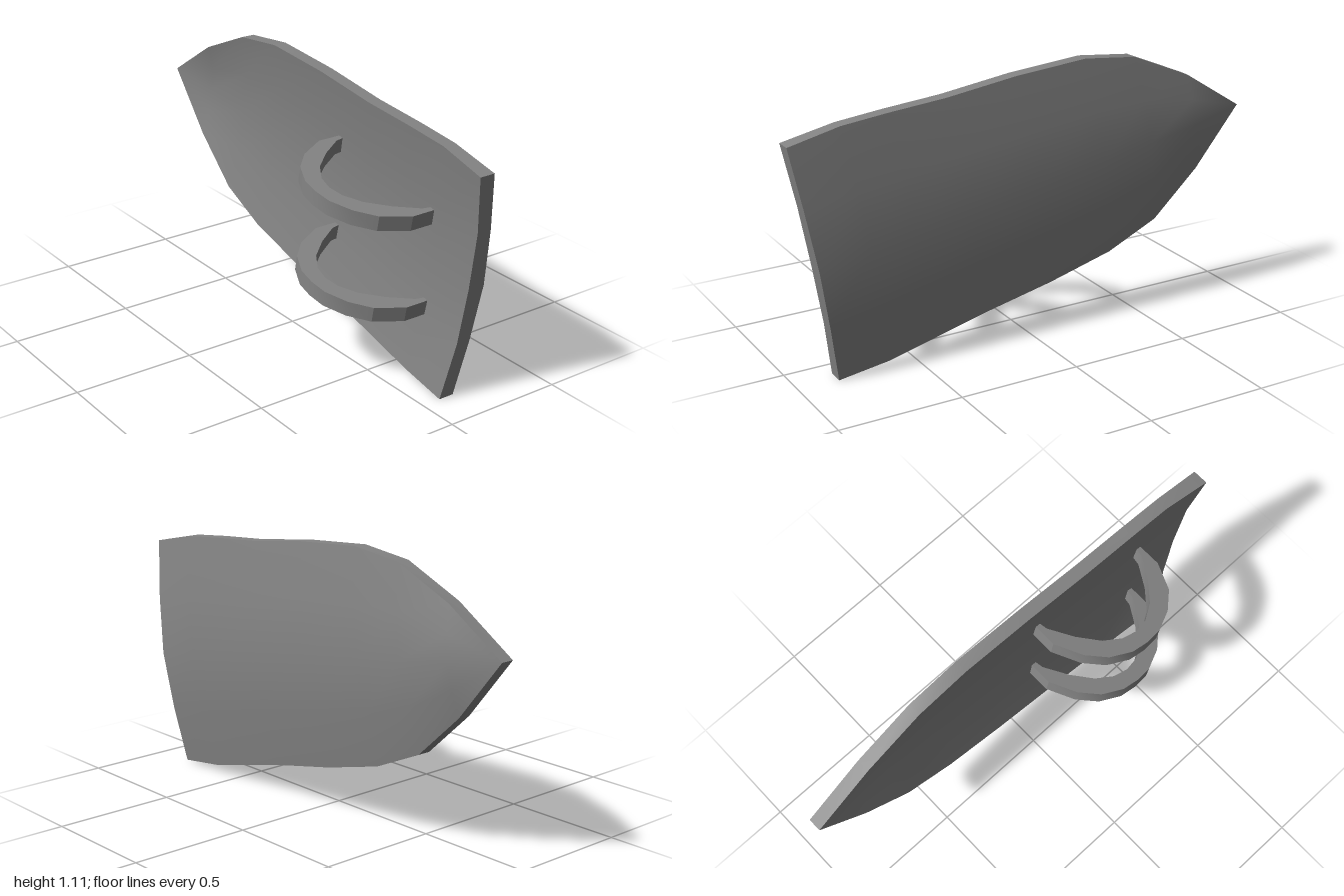
import * as THREE from 'three';
import { toCreasedNormals } from 'three/addons/utils/BufferGeometryUtils.js';

const material = new THREE.MeshStandardMaterial({ color: 0x848484 });

// Matching stations along both edges, from the pointed tip to the wide end
const topEdge = [[-1, 0.805], [-0.74, 0.97], [-0.48, 1.08], [-0.25, 1.105], [0.06, 1.08],
  [0.36, 1.04], [0.6, 1.02], [0.79, 1.0], [1, 0.953]];
const bottomEdge = [[-1, 0.805], [-0.8, 0.56], [-0.6, 0.375], [-0.38, 0.275], [-0.1, 0.2],
  [0.2, 0.135], [0.44, 0.075], [0.62, 0.03], [0.835, 0]];
const bulge = [0, 0.038, 0.05, 0.053, 0.053, 0.053, 0.053, 0.053, 0.053];

// Curved plate: a box grid warped between the two edges and bowed backwards
function plateGeometry() {
  const n = topEdge.length - 1;
  const geometry = new THREE.BoxGeometry(1, 1, 1, n, 4, 1);
  const pos = geometry.attributes.position;
  for (let k = 0; k < pos.count; k++) {
    const i = Math.round((pos.getX(k) + 0.5) * n);
    const v = pos.getY(k) + 0.5;
    const [tx, ty] = topEdge[i];
    const [bx, by] = bottomEdge[i];
    const across = Math.abs(2 * v - 1);
    // The hollow front is flatter in the middle than the back
    const z = pos.getZ(k) > 0
      ? (i === n ? -0.08 : -0.09) - 0.85 * bulge[i] * (1 - across ** 2.6)
      : -0.145 - bulge[i] * (1 - across ** 1.5);
    pos.setXYZ(k, bx + (tx - bx) * v, by + (ty - by) * v, z);
  }
  return toCreasedNormals(geometry, 0.6);
}

// Arched grip: crescent profile, thick in the middle and thin at the ends
function gripGeometry() {
  const outerRight = [[0.293, -0.15], [0.293, -0.03], [0.24, 0.085], [0.165, 0.15], [0.075, 0.191]];
  const outerLeft = [[0, 0.198], [-0.075, 0.191], [-0.165, 0.15], [-0.235, 0.08], [-0.293, -0.03], [-0.293, -0.15]];
  const inner = [[0, 0.135], [0.065, 0.123], [0.135, 0.08], [0.205, 0], [0.265, -0.095], [0.275, -0.15]];
  const innerLeft = inner.map(([x, y]) => [-x, y]).reverse();
  const points = [...outerRight, ...outerLeft, ...innerLeft, ...inner.slice(1)];
  const shape = new THREE.Shape(points.map(([x, y]) => new THREE.Vector2(x, y)));
  const height = 0.063;
  const geometry = new THREE.ExtrudeGeometry(shape, { depth: height, bevelEnabled: false });
  geometry.translate(0, 0, -height / 2);
  geometry.rotateX(Math.PI / 2);
  return toCreasedNormals(geometry, 0.39);
}

export function createModel() {
  const model = new THREE.Group();
  model.name = 'shield';

  const plate = new THREE.Mesh(plateGeometry(), material);
  plate.name = 'shieldPlate';
  model.add(plate);

  // Two parallel grips, tilted with the plate
  const grip = gripGeometry();
  for (const [name, x, y] of [['upperGrip', 0.415, 0.742], ['lowerGrip', 0.395, 0.365]]) {
    const mesh = new THREE.Mesh(grip, material);
    mesh.name = name;
    mesh.position.set(x, y, 0);
    mesh.rotation.z = -0.195;
    model.add(mesh);
  }
  return model;
}
